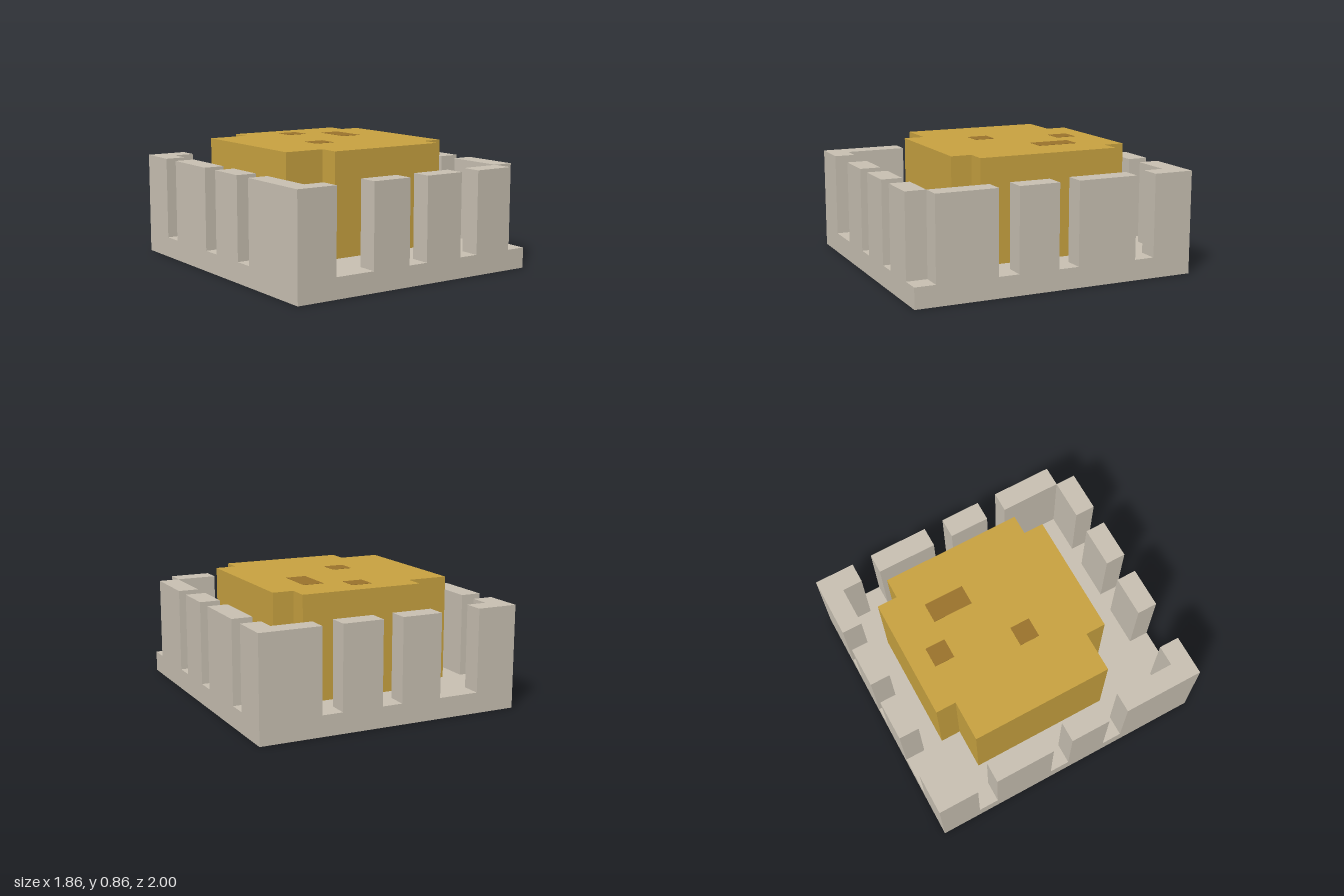
import * as THREE from 'three';

const U = 1 / 7; // one block
const X = (i) => (i - 6.5) * U;
const Z = (k) => (k - 7) * U;

const material = (name, color) => Object.assign(new THREE.MeshStandardMaterial({ color }), { name });

// Box spanning block coordinates i0..i1 in x, k0..k1 in z, with real heights y0..y1
function block(name, mat, [i0, i1, k0, k1], y0, y1) {
  const geo = new THREE.BoxGeometry((i1 - i0) * U, y1 - y0, (k1 - k0) * U);
  geo.translate((X(i0) + X(i1)) / 2, (y0 + y1) / 2, (Z(k0) + Z(k1)) / 2);
  const mesh = new THREE.Mesh(geo, mat);
  mesh.name = name;
  return mesh;
}

// Upright prism from a list of block coordinates in plan
function prism(name, mat, plan, y0, y1) {
  const shape = new THREE.Shape(plan.map(([i, k]) => new THREE.Vector2(X(i), -Z(k))));
  const geo = new THREE.ExtrudeGeometry(shape, { depth: y1 - y0, bevelEnabled: false });
  geo.rotateX(-Math.PI / 2).translate(0, y0, 0);
  const mesh = new THREE.Mesh(geo, mat);
  mesh.name = name;
  return mesh;
}

export function createModel() {
  const stone = material('stone', 0xc8c0b2);
  const gold = material('gold', 0xc8a240);
  const brown = material('brown', 0x9a732c);
  const model = new THREE.Group();
  model.name = 'walledBlock';

  // Floor slab
  model.add(block('base', stone, [0, 13, 0, 14], 0, U));

  // Ring of wall posts
  const wall = new THREE.Group();
  wall.name = 'wall';
  const post = (name, area) => wall.add(block(name, stone, area, U, 5 * U));
  for (const [a, b] of [[4, 6], [7, 9]]) {
    post('backPost', [a, b, 0, 1]);
    post('frontPost', [a, b, 13, 14]);
  }
  for (const [a, b] of [[3, 6], [7, 9]]) {
    post('rightPost', [0, 1, a, b]);
    post('leftPost', [12, 13, a, b]);
  }

  // Corner pieces; the front left corner is open
  const corner = (name, plan) => wall.add(prism(name, stone, plan, U, 5 * U));
  corner('backRightCorner', [[0, 0], [2, 0], [2, 1], [1, 1], [1, 2], [0, 2]]);
  corner('backLeftCorner', [[10, 0], [13, 0], [13, 2], [12, 2], [12, 1], [10, 1]]);
  corner('frontRightCorner', [[0, 10], [1, 10], [1, 13], [2, 13], [2, 14], [0, 14]]);
  post('frontLeftPost', [10, 12, 13, 14]);
  post('leftFrontPost', [12, 13, 10, 13]);
  model.add(wall);

  // Central block with notched corners
  model.add(prism('core', gold, [
    [4, 2], [10, 2], [10, 3], [11, 3], [11, 10], [10, 10],
    [10, 11], [4, 11], [4, 10], [2, 10], [2, 3], [4, 3],
  ], U, 6 * U));

  // Dark spots on top
  for (const area of [[6, 7, 3, 4], [8, 9, 4, 6], [5, 6, 7, 8]]) {
    model.add(block('spot', brown, area, 6 * U, 6 * U + 0.002));
  }
  return model;
}
